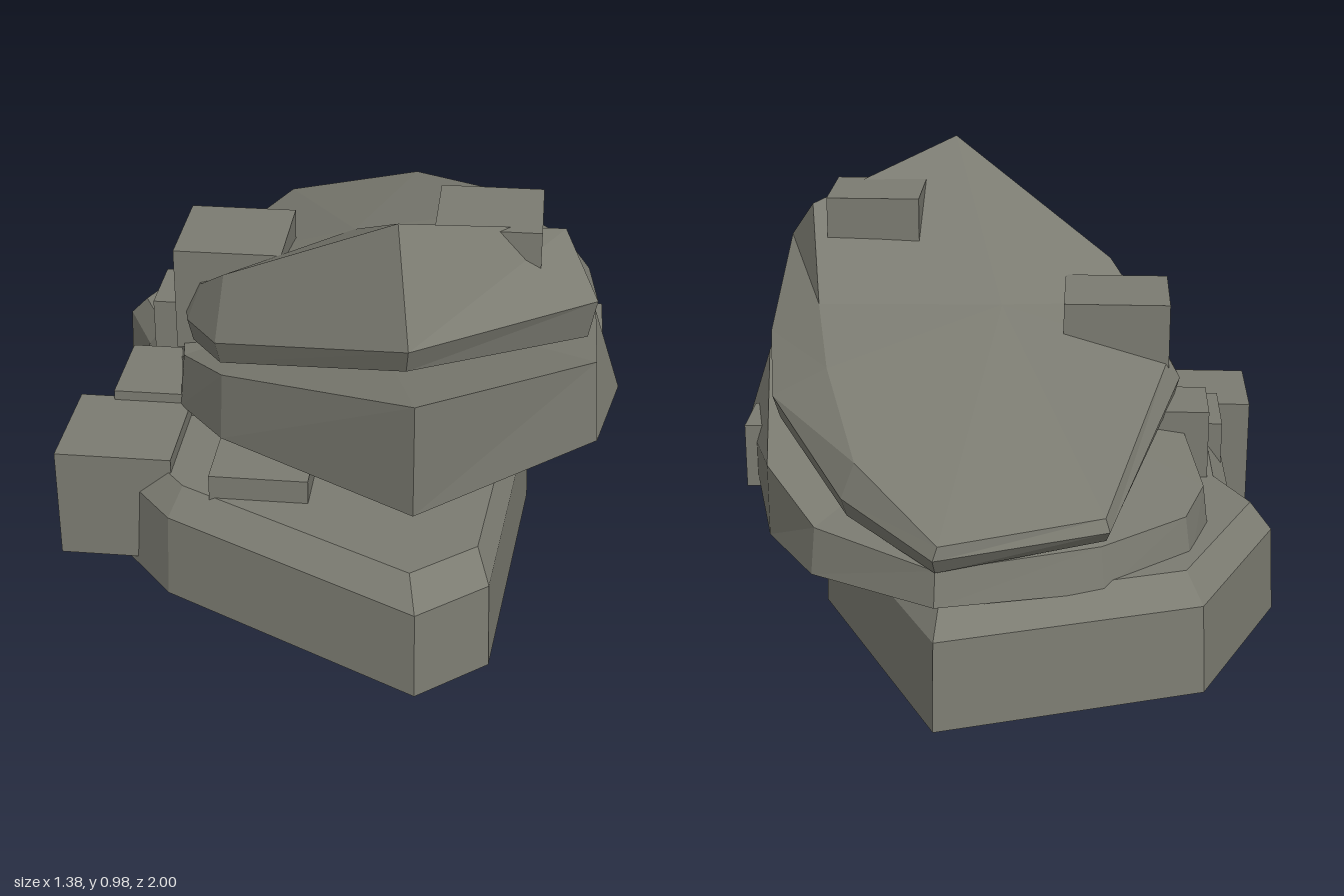
import * as THREE from 'three';

const stone = new THREE.MeshStandardMaterial({ color: 0x7b7b71, flatShading: true });
stone.name = 'weathered stone';

// Closed rock from stacked rings of [x, y, z], listed bottom to top, each counter-clockwise from above
function rock(name, rings, bottomY, topY) {
  const n = rings[0].length;
  const pos = [];
  const tri = (...points) => points.forEach((p) => pos.push(...p));
  for (let r = 0; r < rings.length - 1; r++) {
    for (let i = 0; i < n; i++) {
      const j = (i + 1) % n;
      const [a, b, c, d] = [rings[r][i], rings[r][j], rings[r + 1][j], rings[r + 1][i]];
      tri(a, b, c);
      tri(a, c, d);
    }
  }
  const low = rings[0];
  const high = rings[rings.length - 1];
  for (let i = 0; i < n; i++) {
    const j = (i + 1) % n;
    tri([0, bottomY, 0], low[j], low[i]);
    tri([0, topY, 0], high[i], high[j]);
  }
  const geometry = new THREE.BufferGeometry();
  geometry.setAttribute('position', new THREE.Float32BufferAttribute(pos, 3));
  geometry.computeVertexNormals();
  const mesh = new THREE.Mesh(geometry, stone);
  mesh.name = name;
  return mesh;
}

export function createModel() {
  const model = new THREE.Group();
  model.name = 'rockStack';

  // Base slab: one outline drawn in towards a bevelled top
  const base = [
    [0.24, 1], [0.4, 0.87], [0.47, 0.16], [0.42, -0.36], [0.1, -1],
    [-0.5, -0.79], [-0.69, -0.35], [-0.6, -0.17], [-0.59, 0.44], [-0.38, 0.68],
  ];
  const baseRing = (y, s) => base.map(([x, z]) => [x * s, y, z * s]);
  model.add(rock('baseSlab', [baseRing(0.01, 1), baseRing(0.22, 0.985), baseRing(0.28, 0.91)], 0.01, 0.28));

  // Middle slab: x, z, lower y, upper y, inset of the upper edge
  const middle = [
    [0.22, 0.85, 0.39, 0.67, 1], [0.63, 0.44, 0.36, 0.57, 0.98], [0.69, 0.09, 0.31, 0.52, 0.9],
    [0.54, -0.46, 0.23, 0.41, 1], [0.4, -0.72, 0.25, 0.36, 0.98], [0.1, -0.94, 0.28, 0.36, 0.98],
    [-0.27, -0.8, 0.26, 0.36, 0.97], [-0.47, -0.62, 0.25, 0.36, 0.97], [-0.52, -0.45, 0.24, 0.37, 0.97],
    [-0.46, 0.05, 0.28, 0.42, 0.96], [-0.41, 0.3, 0.31, 0.45, 0.97], [-0.27, 0.51, 0.35, 0.52, 0.98],
  ];
  model.add(rock('middleSlab', [
    middle.map(([x, z, low]) => [x, low, z]),
    middle.map(([x, z, , high, s]) => [x * s, high, z * s]),
  ], 0.27, 0.48));

  // Top slab: x, z, lower y, girdle y, then x, y, z of the sloping top edge
  const top = [
    [0.2, 0.79, 0.71, 0.77, 0.16, 0.99, 0.61], [0.61, 0.45, 0.64, 0.74, 0.53, 0.86, 0.32],
    [0.6, 0, 0.54, 0.6, 0.47, 0.68, -0.02], [0.55, -0.3, 0.47, 0.53, 0.41, 0.61, -0.32],
    [0.33, -0.7, 0.38, 0.43, 0.3, 0.51, -0.68], [0.1, -0.96, 0.36, 0.4, 0.09, 0.43, -0.95],
    [-0.28, -0.79, 0.37, 0.4, -0.27, 0.43, -0.78], [-0.46, -0.03, 0.45, 0.5, -0.43, 0.55, -0.02],
    [-0.39, 0.27, 0.48, 0.54, -0.36, 0.62, 0.23], [-0.28, 0.49, 0.54, 0.6, -0.28, 0.71, 0.35],
  ];
  model.add(rock('topSlab', [
    top.map(([x, z, low]) => [x * 0.97, low, z * 0.97]),
    top.map(([x, z, , mid]) => [x, mid, z]),
    top.map(([, , , , x, y, z]) => [x, y, z]),
  ], 0.5, 0.68));

  // Cubic blocks lodged around the slabs: size and centre
  const blocks = [
    [0.285, -0.527, 0.172, 0.425], [0.24, -0.46, 0.22, 0.18], [0.19, -0.435, 0.36, -0.07],
    [0.27, -0.295, 0.565, 0.08], [0.165, 0.563, 0.322, -0.1], [0.245, 0.353, 0.782, 0.325],
    [0.235, -0.157, 0.222, 0.545], [0.2, -0.035, 0.207, 0.32],
  ];
  for (const [size, x, y, z] of blocks) {
    const block = new THREE.Mesh(new THREE.BoxGeometry(size, size, size), stone);
    block.position.set(x, y, z);
    block.name = 'stoneBlock';
    model.add(block);
  }
  return model;
}
